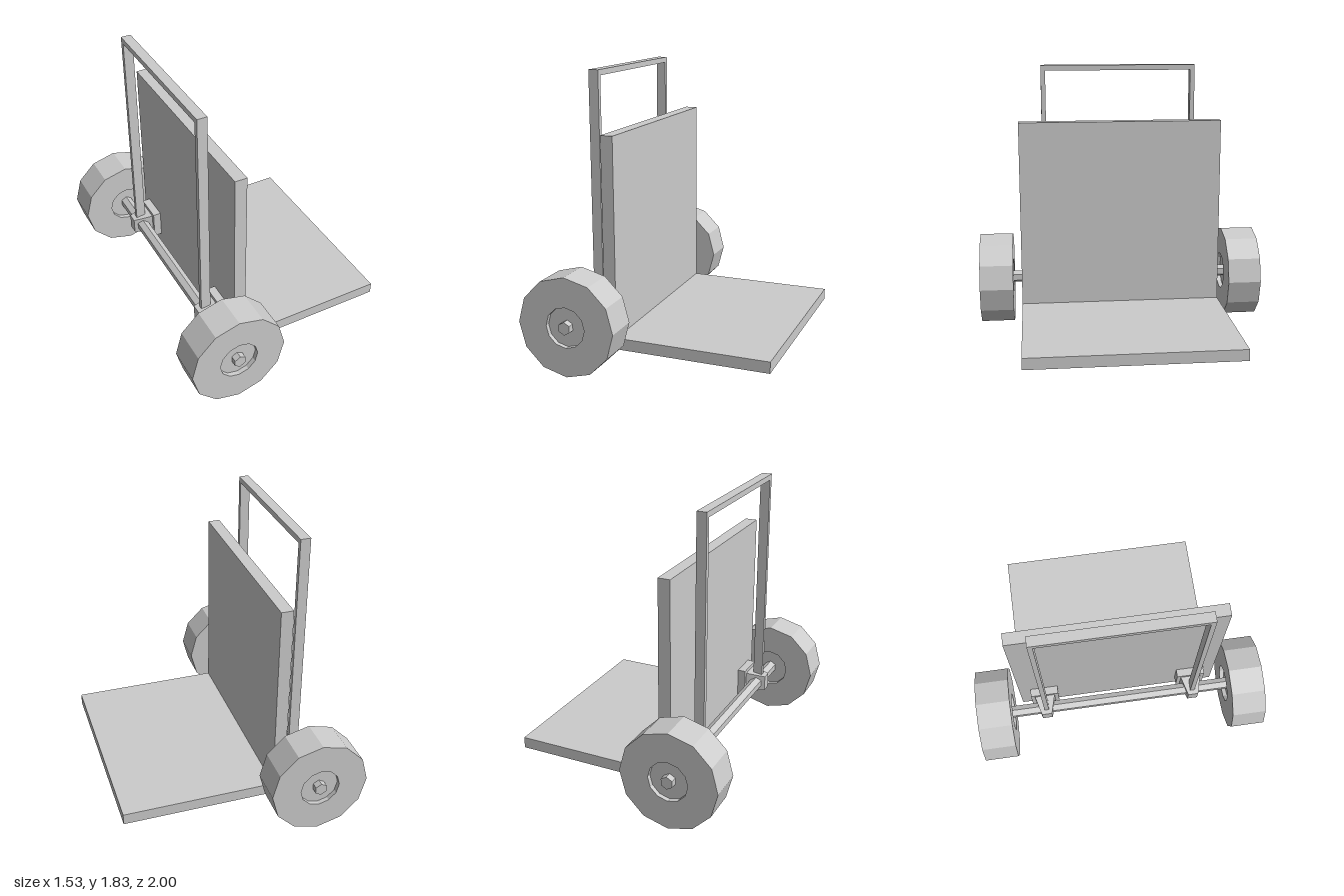
import * as THREE from 'three';

const AXLE_X = -0.443, AXLE_Y = 0.325;

export function createModel() {
  const cart = new THREE.Group();
  cart.name = 'handTruck';
  const material = new THREE.MeshStandardMaterial({ color: 0xcccccc, flatShading: true });

  const add = (name, geometry, x, y, z) => {
    const mesh = new THREE.Mesh(geometry, material);
    mesh.name = name;
    mesh.position.set(x, y, z);
    cart.add(mesh);
    return mesh;
  };
  // Box given by its limits on each axis
  const box = (name, x0, x1, y0, y1, z0, z1) =>
    add(name, new THREE.BoxGeometry(x1 - x0, y1 - y0, z1 - z0),
      (x0 + x1) / 2, (y0 + y1) / 2, (z0 + z1) / 2);

  // Load plate and upright back board
  box('loadPlate', -0.323, 0.762, 0.105, 0.18, -0.697, 0.697);
  box('backBoard', -0.323, -0.243, 0.18, 1.463, -0.697, 0.697);

  // Hexagonal axle through both wheels
  add('axle', new THREE.CylinderGeometry(0.042, 0.042, 2, 6).rotateX(Math.PI / 2), AXLE_X, AXLE_Y, 0);

  // Twelve-sided wheel with a shallow hub recess on both faces
  const half = 0.115, recess = 0.03;
  const wheelProfile = [
    [0, -half + recess], [0.13, -half + recess], [0.13, -half], [0.32, -half],
    [0.32, half], [0.13, half], [0.13, half - recess], [0, half - recess],
  ].map(([r, h]) => new THREE.Vector2(r, h));
  const wheelGeometry = new THREE.LatheGeometry(wheelProfile, 12).rotateX(Math.PI / 2);

  // Bracket block narrowing towards the back
  const blockGeometry = new THREE.BoxGeometry(0.13, 0.14, 0.14);
  const p = blockGeometry.attributes.position;
  for (let i = 0; i < p.count; i++) {
    if (p.getX(i) < 0) p.setXYZ(i, p.getX(i), p.getY(i) * 0.75, p.getZ(i) * 0.5);
  }

  for (const [side, s] of [['front', 1], ['back', -1]]) {
    add(side + 'Wheel', wheelGeometry, AXLE_X, AXLE_Y, s * 0.871);
    add(side + 'BracketPlate', new THREE.BoxGeometry(0.054, 0.19, 0.192), -0.349, AXLE_Y, s * 0.523);
    add(side + 'BracketBlock', blockGeometry, -0.44, AXLE_Y, s * 0.523);
    // Handle post rising from the bracket
    add(side + 'HandlePost', new THREE.BoxGeometry(0.065, 1.45, 0.031), AXLE_X, 1.075, s * 0.521);
  }

  // Crossbar joining the two posts
  box('handleBar', AXLE_X - 0.0325, AXLE_X + 0.0325, 1.8, 1.836, -0.5365, 0.5365);

  return cart;
}
